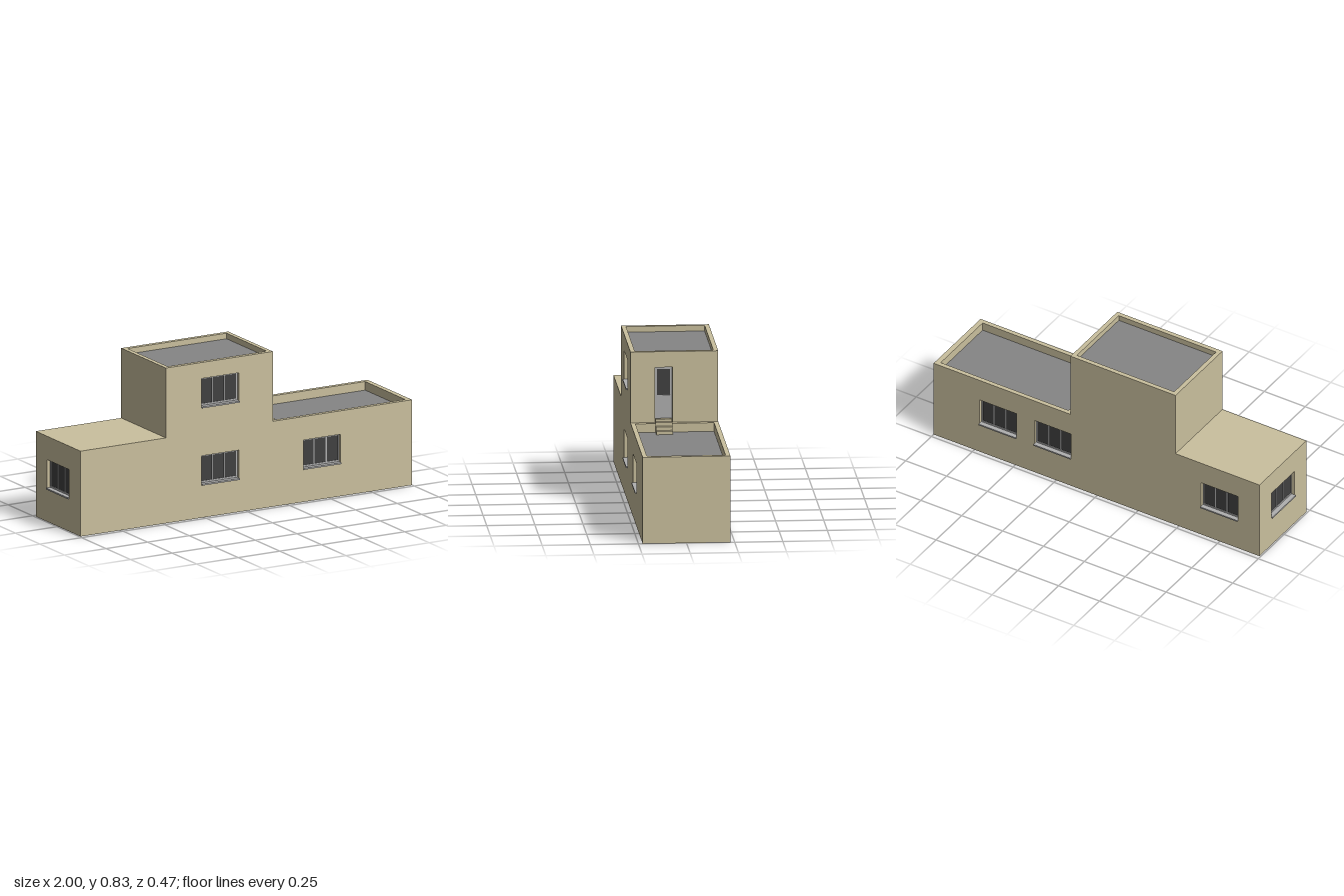
import * as THREE from 'three';

const mat = (color) => new THREE.MeshStandardMaterial({ color });
const wallMat = mat(0xcac09e), roofMat = mat(0x858585), frameMat = mat(0xb0b0b0), glassMat = mat(0x404040);

// Main dimensions
const LEFT = -0.993, RIGHT = 1, T0 = -0.48, T1 = 0.163; // body ends, tower sides
const LOW = 0.458, HIGH = 0.833, Z = 0.228, WALL = 0.024, IN = Z - WALL;
const WIN_W = 0.225, WIN_H = 0.152;

function add(parent, name, geometry, material) {
  const mesh = new THREE.Mesh(geometry, material);
  mesh.name = name;
  parent.add(mesh);
  return mesh;
}

// Box given by its min and max corners
function box(parent, name, material, x0, x1, y0, y1, z0, z1) {
  const mesh = add(parent, name, new THREE.BoxGeometry(x1 - x0, y1 - y0, z1 - z0), material);
  mesh.position.set((x0 + x1) / 2, (y0 + y1) / 2, (z0 + z1) / 2);
  return mesh;
}

const corners = (x0, y0, x1, y1) => [[x0, y0], [x1, y0], [x1, y1], [x0, y1]].map(([x, y]) => new THREE.Vector2(x, y));

// Flat panel with rectangular openings, each [x0, y0, x1, y1]
function panel(outline, openings, depth) {
  const shape = new THREE.Shape(outline);
  for (const o of openings) shape.holes.push(new THREE.Path(corners(...o)));
  return new THREE.ExtrudeGeometry(shape, { depth, bevelEnabled: false });
}

const opening = ([c, y]) => [c - WIN_W / 2, y, c + WIN_W / 2, y + WIN_H];

// Recessed three-pane window: origin at the bottom centre of its opening, outside towards +z
function makeWindow(name) {
  const g = new THREE.Group();
  g.name = name;
  const panes = [-1, 0, 1].map((i) => [i * 0.0725 - 0.033, 0.011, i * 0.0725 + 0.033, WIN_H - 0.008]);
  add(g, 'windowFrame', panel(corners(-WIN_W / 2, 0, WIN_W / 2, WIN_H), panes, 0.006), frameMat).position.z = -WALL;
  box(g, 'windowGlass', glassMat, -WIN_W / 2 + 0.003, WIN_W / 2 - 0.003, 0.003, WIN_H - 0.003, -0.028, -0.021);
  box(g, 'windowSill', frameMat, -WIN_W / 2, WIN_W / 2, -0.006, 0.002, -WALL, 0.008);
  return g;
}

export function createModel() {
  const house = new THREE.Group();
  house.name = 'house';

  // Front and back walls share the stepped outline
  const outline = [[LEFT, 0], [RIGHT, 0], [RIGHT, LOW], [T1, LOW], [T1, HIGH], [T0, HIGH], [T0, LOW], [LEFT, LOW]]
    .map(([x, y]) => new THREE.Vector2(x, y));
  const frontWindows = [[-0.153, 0.18], [0.458, 0.18], [-0.153, 0.595]];
  const backWindows = [[-0.748, 0.18], [0.272, 0.18], [0.607, 0.18]];
  add(house, 'frontWall', panel(outline, frontWindows.map(opening), WALL), wallMat).position.z = IN;
  add(house, 'backWall', panel(outline, backWindows.map(opening), WALL), wallMat).position.z = -Z;
  for (const [x, y] of frontWindows) {
    const w = makeWindow('frontWindow');
    w.position.set(x, y, Z);
    house.add(w);
  }
  for (const [x, y] of backWindows) {
    const w = makeWindow('backWindow');
    w.position.set(x, y, -Z);
    w.rotation.y = Math.PI;
    house.add(w);
  }

  // End walls
  const endWall = add(house, 'endWall', panel(corners(-IN, 0, IN, LOW), [opening([0, 0.18])], WALL), wallMat);
  endWall.rotation.y = -Math.PI / 2;
  endWall.position.x = LEFT + WALL;
  const endWindow = makeWindow('endWindow');
  endWindow.rotation.y = -Math.PI / 2;
  endWindow.position.set(LEFT, 0.18, 0);
  house.add(endWindow);
  box(house, 'terraceEndWall', wallMat, RIGHT - 0.028, RIGHT, 0, LOW, -IN, IN);

  // Tower side walls, the right one with a doorway
  box(house, 'towerSideWall', wallMat, T0, T0 + WALL, LOW - WALL, HIGH, -IN, IN);
  const doorWall = add(house, 'towerDoorWall', panel(corners(-IN, 0.4, IN, HIGH), [[0.01, LOW, 0.1, 0.75]], WALL), wallMat);
  doorWall.rotation.y = -Math.PI / 2;
  doorWall.position.x = T1;

  // Floors and roofs
  box(house, 'baseSlab', wallMat, LEFT + WALL, RIGHT - 0.028, 0, 0.02, -IN, IN);
  box(house, 'lowRoof', wallMat, LEFT + WALL, T0, LOW - WALL, LOW, -IN, IN);
  box(house, 'towerRoof', roofMat, T0 + WALL, T1 - WALL, 0.78, 0.803, -IN, IN);
  box(house, 'terraceFloor', roofMat, T1, RIGHT - 0.028, 0.39, 0.412, -IN, IN);
  box(house, 'terraceParapet', wallMat, T1, T1 + 0.027, 0.4, LOW, -IN, IN);

  // Glazed door set back in its doorway
  const door = new THREE.Group();
  door.name = 'door';
  house.add(door);
  const leaf = add(door, 'doorLeaf', panel(corners(0.01, LOW, 0.1, 0.75), [[0.021, 0.6, 0.09, 0.738]], 0.008), frameMat);
  leaf.rotation.y = -Math.PI / 2;
  leaf.position.x = T1 - WALL + 0.008;
  box(door, 'doorGlass', glassMat, T1 - WALL - 0.004, T1 - WALL + 0.004, 0.595, 0.743, 0.015, 0.095);

  // Steps from the door down to the terrace
  [0.48, 0.467, 0.448, 0.43].forEach((top, i) => {
    box(house, 'terraceStep', wallMat, T1 + i * 0.022, T1 + (i + 1) * 0.022, 0.41, top, 0.014, 0.1);
  });

  return house;
}
